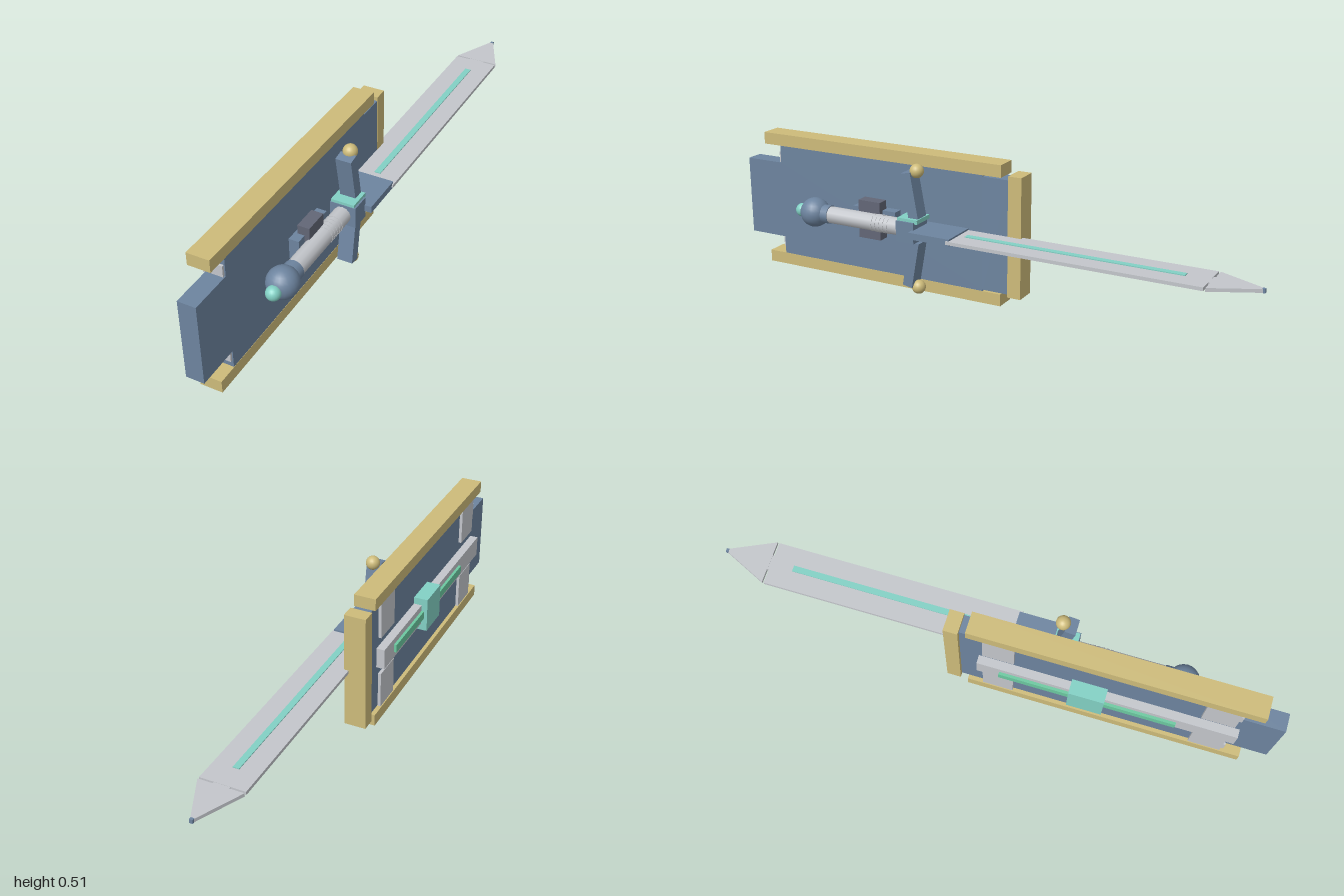
import * as THREE from 'three';

const mat = (name, color) => {
  const m = new THREE.MeshStandardMaterial({ color });
  m.name = name;
  return m;
};

export function createModel() {
  const blue = mat('steelBlue', 0x6d849f);
  const silver = mat('silver', 0xc3c6cb);
  const gold = mat('gold', 0xcdbb7a);
  const teal = mat('teal', 0x82d0c4);
  const green = mat('green', 0x6cc8a0);
  const dark = mat('darkGrey', 0x626676);

  const root = new THREE.Group();
  const shield = new THREE.Group();
  shield.name = 'shield';
  const sword = new THREE.Group();
  sword.name = 'sword';
  root.add(shield, sword);

  const add = (parent, name, geo, material, x, y, z) => {
    const mesh = new THREE.Mesh(geo, material);
    mesh.name = name;
    mesh.position.set(x, y, z);
    parent.add(mesh);
    return mesh;
  };
  // Box given by its lower and upper bounds on each axis
  const box = (parent, name, material, x0, x1, y0, y1, z0, z1) =>
    add(parent, name, new THREE.BoxGeometry(x1 - x0, y1 - y0, z1 - z0), material,
      (x0 + x1) / 2, (y0 + y1) / 2, (z0 + z1) / 2);
  const ball = (parent, name, material, r, x, y, z) =>
    add(parent, name, new THREE.SphereGeometry(r, 20, 14), material, x, y, z);

  const CX = 0.049, CY = 0.255;

  // Shield board: wide body, slightly narrower top and stepped lower end
  const outline = [[-0.1, 0.205], [0, 0.205], [0, 0.21], [0.85, 0.21], [0.85, 0.145], [1, 0.145]];
  const points = [...outline, ...outline.slice().reverse().map(([z, h]) => [z, -h])]
    .map(([z, h]) => new THREE.Vector2(-z, h));
  const boardGeo = new THREE.ExtrudeGeometry(new THREE.Shape(points), { depth: 0.063, bevelEnabled: false });
  boardGeo.rotateY(Math.PI / 2);
  add(shield, 'board', boardGeo, blue, -0.079, CY, 0);

  // Rim bars, mirrored corner plates and end blocks
  for (const s of [-1, 1]) {
    const band = (name, material, x0, x1, a, b, z0, z1) =>
      box(shield, name, material, x0, x1, CY + Math.min(s * a, s * b), CY + Math.max(s * a, s * b), z0, z1);
    band('rimBar', gold, -0.093, -0.015, 0.21, 0.254, -0.07, 0.92);
    band('cornerPlateTop', silver, -0.09, -0.078, 0.073, 0.209, -0.015, 0.095);
    band('cornerPlateBottom', silver, -0.09, -0.078, 0.073, 0.209, 0.735, 0.849);
    band('endBlock', silver, -0.088, -0.02, 0.14, 0.185, 0.84, 0.858);
  }
  box(shield, 'rimEnd', gold, -0.093, -0.015, 0.039, 0.474, -0.147, -0.097);

  // Decoration on the outer face
  box(shield, 'centreStrip', silver, -0.109, -0.078, 0.217, 0.293, -0.03, 0.87);
  box(shield, 'inlay', green, -0.119, -0.108, 0.24, 0.27, 0.05, 0.665);
  box(shield, 'boss', teal, -0.131, -0.078, 0.191, 0.319, 0.295, 0.418);

  // Mount and clamp on the inner face
  box(shield, 'mount', blue, -0.016, 0.02, 0.217, 0.293, 0.33, 0.508);
  box(shield, 'clamp', dark, -0.005, 0.038, 0.185, 0.325, 0.383, 0.472);

  // Pommel, jewel and collar
  ball(sword, 'pommel', blue, 0.054, CX, CY, 0.655);
  ball(sword, 'pommelJewel', teal, 0.025, CX, CY, 0.711);
  const round = (name, material, r, z0, z1) => {
    const g = new THREE.CylinderGeometry(r, r, z1 - z0, 12);
    g.rotateX(Math.PI / 2);
    return add(sword, name, g, material, CX, CY, (z0 + z1) / 2);
  };
  round('collar', blue, 0.034, 0.585, 0.625);

  // Grip with wrap rings
  round('grip', silver, 0.031, 0.26, 0.6);
  for (let i = 0; i < 5; i++) round('gripRing', silver, 0.0325, 0.33 + i * 0.016, 0.338 + i * 0.016);

  // Guard block, cap and ricasso
  box(sword, 'guardBlock', blue, CX - 0.045, CX + 0.048, 0.217, 0.293, 0.21, 0.28);
  box(sword, 'guardCap', teal, CX - 0.042, CX + 0.042, 0.288, 0.303, 0.198, 0.278);
  box(sword, 'ricasso', blue, -0.03, 0.122, 0.243, 0.267, 0.055, 0.216);

  // Slanted guard arms with ball ends
  for (const s of [-1, 1]) {
    const arm = box(sword, 'guardArm', blue, CX - 0.028, CX + 0.028, -0.085, 0.085, -0.019, 0.019);
    arm.position.set(CX, CY + s * 0.123, 0.235);
    arm.rotation.x = s * 0.18;
    ball(sword, 'guardBall', gold, 0.025, CX, CY + s * 0.212, 0.22);
  }

  // Blade, raised flat, inlay and neck
  box(sword, 'blade', silver, -0.031, 0.127, 0.249, 0.261, -0.83, 0.066);
  box(sword, 'bladeInlay', teal, CX - 0.011, CX + 0.011, 0.247, 0.264, -0.75, 0.028);
  box(sword, 'bladeNeck', silver, CX - 0.028, CX + 0.028, 0.25, 0.26, -0.845, -0.825);

  // Triangular blade tip
  const tip = new THREE.Shape([
    new THREE.Vector2(-0.079, 0.837), new THREE.Vector2(0.079, 0.837),
    new THREE.Vector2(0.004, 0.997), new THREE.Vector2(-0.004, 0.997),
  ]);
  const tipGeo = new THREE.ExtrudeGeometry(tip, { depth: 0.012, bevelEnabled: false });
  tipGeo.rotateX(-Math.PI / 2);
  add(sword, 'bladeTip', tipGeo, silver, CX, 0.249, 0);
  box(sword, 'tipPoint', blue, CX - 0.006, CX + 0.006, 0.248, 0.262, -1, -0.99);

  return root;
}
